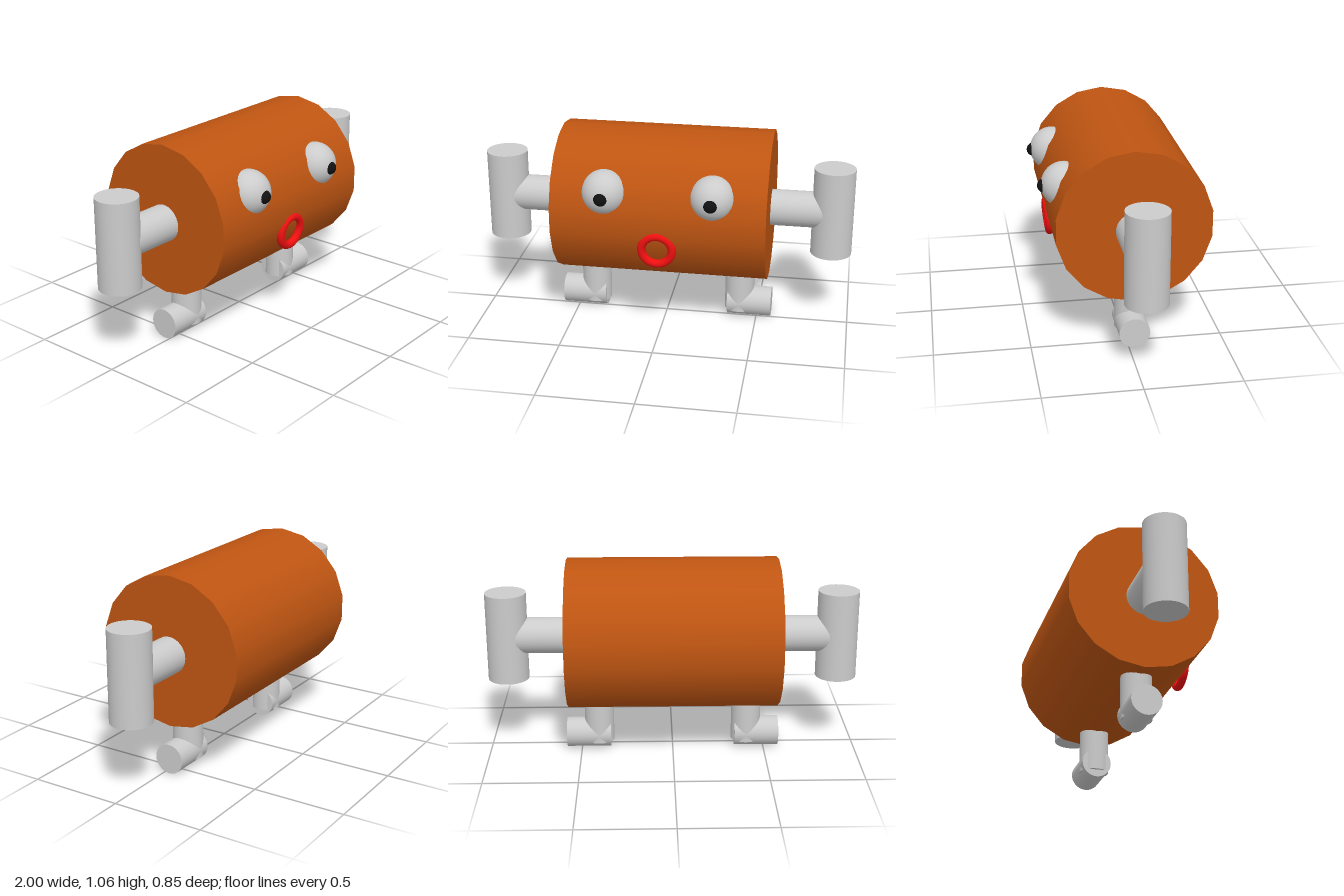
import * as THREE from 'three';

const AXIS_Z = -0.03; // depth of the body and limb axes

const material = (color) => new THREE.MeshStandardMaterial({ color });
const grey = material(0xcccccc);
const orange = material(0xbf5512);
const red = material(0xf01010);
const black = material(0x111111);

function addMesh(parent, name, geometry, mat, x, y, z) {
  const mesh = new THREE.Mesh(geometry, mat);
  mesh.name = name;
  mesh.position.set(x, y, z);
  parent.add(mesh);
  return mesh;
}

// Upright cylinder between two heights
function upright(parent, name, radius, x, y0, y1) {
  const geometry = new THREE.CylinderGeometry(radius, radius, y1 - y0, 40);
  return addMesh(parent, name, geometry, grey, x, (y0 + y1) / 2, AXIS_Z);
}

// Sideways cylinder between two x positions
function sideways(parent, name, radius, x0, x1, y, mat = grey, sides = 40, start = 0) {
  const geometry = new THREE.CylinderGeometry(
    radius, radius, Math.abs(x1 - x0), sides, 1, false, start, Math.PI * 2);
  geometry.rotateZ(Math.PI / 2);
  return addMesh(parent, name, geometry, mat, (x0 + x1) / 2, y, AXIS_Z);
}

export function createModel() {
  const model = new THREE.Group();
  model.name = 'barrelCreature';

  // Barrel body: 18 sides with an edge running along the top
  sideways(model, 'body', 0.402, -0.562, 0.562, 0.664, orange, 18, Math.PI / 18);

  for (const [side, s] of [['left', 1], ['right', -1]]) {
    // Arm with an upright hand
    const arm = new THREE.Group();
    arm.name = side + 'Arm';
    sideways(arm, side + 'UpperArm', 0.097, s * 0.54, s * 0.88, 0.65);
    upright(arm, side + 'Hand', 0.11, s * 0.889, 0.408, 0.89);
    model.add(arm);

    // Short leg with a foot pointing outwards
    const leg = new THREE.Group();
    leg.name = side + 'Leg';
    upright(leg, side + 'Shin', 0.08, s * 0.403, 0.042, 0.32);
    sideways(leg, side + 'Foot', 0.0805, s * 0.34, s * 0.58, 0.0825);
    model.add(leg);

    // Bulging eye and pupil
    const eye = new THREE.Group();
    eye.name = side + 'Eye';
    addMesh(eye, side + 'Eyeball', new THREE.SphereGeometry(0.119, 40, 28), grey, s * 0.282, 0.811, 0.29);
    addMesh(eye, side + 'Pupil', new THREE.SphereGeometry(0.037, 24, 16), black, s * 0.282, 0.81, 0.391);
    model.add(eye);
  }

  // Ring mouth, leaning slightly forward at the top
  const mouth = addMesh(model, 'mouth', new THREE.TorusGeometry(0.08, 0.022, 16, 48), red, 0, 0.526, 0.349);
  mouth.rotation.x = 0.09;

  return model;
}
